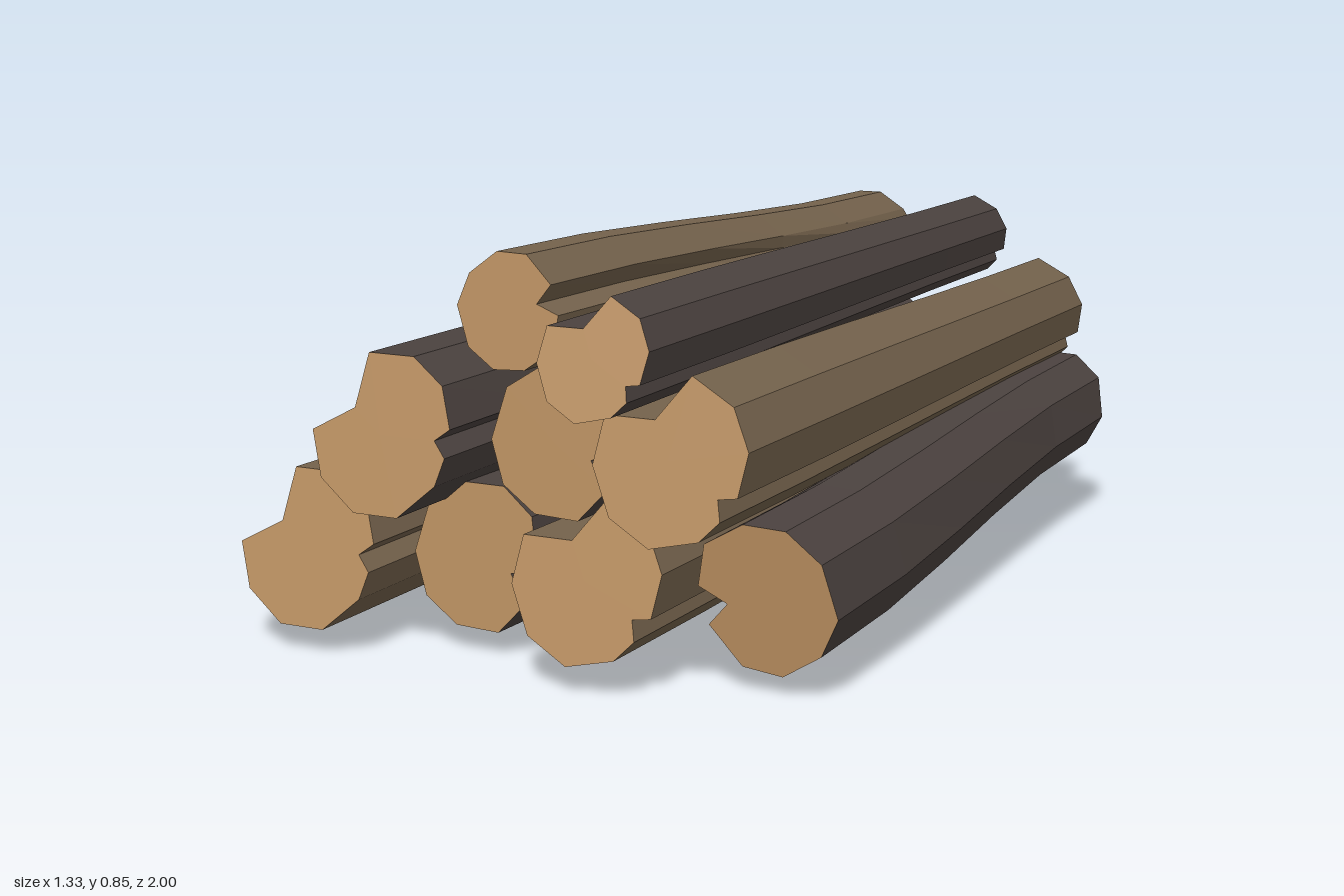
import * as THREE from 'three';

// Log outlines, clockwise seen from the front
const SPLIT = [[-.046, .162], [.063, .162], [.138, .109], [.166, .025], [.132, 0], [.16, -.033], [.143, -.09],
  [.06, -.162], [-.046, -.162], [-.134, -.099], [-.166, -.004], [-.067, .049]];
const ROUND = [[-.042, .155], [.06, .155], [.13, .099], [.148, -.007], [.085, -.025], [.123, -.085],
  [.06, -.152], [-.042, -.148], [-.12, -.095], [-.152, -.004], [-.12, .106]];

// End planes: z at the centre and slope against height
const SPLIT_ENDS = { front: [.965, -.22], back: [-.985, .1], taper: .84 };
const ROUND_ENDS = { front: [.825, -.1], back: [-.945, .22], taper: .9 };
const TURNED_ENDS = { front: [.835, .1], back: [-.94, -.25], taper: .88 };

const LOGS = [
  // name, outline, ends, bark, centre x, y, size, turn, drift of the back end
  ['bottomRightLog', SPLIT, SPLIT_ENDS, 'brown', -.495, .229, 1, 0, [0, 0]],
  ['bottomInnerRightLog', ROUND, ROUND_ENDS, 'dark', -.164, .215, 1, 0, [-.01, -.073]],
  ['bottomInnerLeftLog', SPLIT, SPLIT_ENDS, 'brown', .175, .24, 1, -.49, [0, 0]],
  ['bottomLeftLog', ROUND, TURNED_ENDS, 'dark', .513, .215, 1, 3.7, [-.055, .063]],
  ['middleRightLog', SPLIT, SPLIT_ENDS, 'dark', -.303, .49, 1, 0, [0, 0]],
  ['middleLog', ROUND, ROUND_ENDS, 'dark', .03, .476, 1, 0, [-.03, -.07]],
  ['middleLeftLog', SPLIT, SPLIT_ENDS, 'brown', .365, .504, 1, -.49, [0, 0]],
  ['topRightLog', ROUND, ROUND_ENDS, 'brown', -.076, .737, .78, .65, [.028, -.045]],
  ['topLeftLog', SPLIT, SPLIT_ENDS, 'dark', .196, .691, .73, -.49, [0, 0]],
];
const STEPS = 5;

function flatGeometry(triangles) {
  const geometry = new THREE.BufferGeometry().setFromPoints(triangles);
  geometry.computeVertexNormals();
  return geometry;
}

function makeLog([name, outline, ends, bark, cx, cy, size, turn, drift], materials) {
  const rings = [];
  const centres = [];
  for (let s = 0; s <= STEPS; s++) {
    const t = s / STEPS;
    const bend = THREE.MathUtils.smoothstep(t, 0, 1);
    const scale = size * THREE.MathUtils.lerp(1, ends.taper, bend);
    const place = (px, py) => {
      const x = (px * Math.cos(turn) - py * Math.sin(turn)) * scale;
      const y = (px * Math.sin(turn) + py * Math.cos(turn)) * scale;
      const front = ends.front[0] + ends.front[1] * y / size;
      const back = ends.back[0] + ends.back[1] * y / size;
      return new THREE.Vector3(cx + drift[0] * bend + x, cy + drift[1] * bend + y,
        THREE.MathUtils.lerp(front, back, t));
    };
    rings.push(outline.map(([px, py]) => {
      // The notch of a round log fades out towards the back
      const radius = Math.hypot(px, py);
      const fill = outline === ROUND ? THREE.MathUtils.lerp(1, .15 / radius, bend) : 1;
      return place(px * fill, py * fill);
    }));
    centres.push(place(0, 0));
  }

  const sides = [];
  const caps = [];
  outline.forEach((_, i) => {
    const j = (i + 1) % outline.length;
    for (let s = 0; s < STEPS; s++) {
      const a = rings[s], b = rings[s + 1];
      sides.push(a[i], a[j], b[j], a[i], b[j], b[i]);
    }
    caps.push(centres[0], rings[0][j], rings[0][i]);
    caps.push(centres[STEPS], rings[STEPS][i], rings[STEPS][j]);
  });

  const log = new THREE.Group();
  log.name = name;
  const barkMesh = new THREE.Mesh(flatGeometry(sides), materials[bark]);
  barkMesh.name = 'bark';
  const endMesh = new THREE.Mesh(flatGeometry(caps), materials.cut);
  endMesh.name = 'cutEnds';
  log.add(barkMesh, endMesh);
  return log;
}

export function createModel() {
  const material = (name, color) => {
    const m = new THREE.MeshStandardMaterial({ color, flatShading: true });
    m.name = name;
    return m;
  };
  const materials = {
    brown: material('brown bark', 0x74624c),
    dark: material('dark bark', 0x4b423f),
    cut: material('cut wood', 0xb98f60),
  };
  const pile = new THREE.Group();
  pile.name = 'logPile';
  LOGS.forEach((spec) => pile.add(makeLog(spec, materials)));
  return pile;
}
